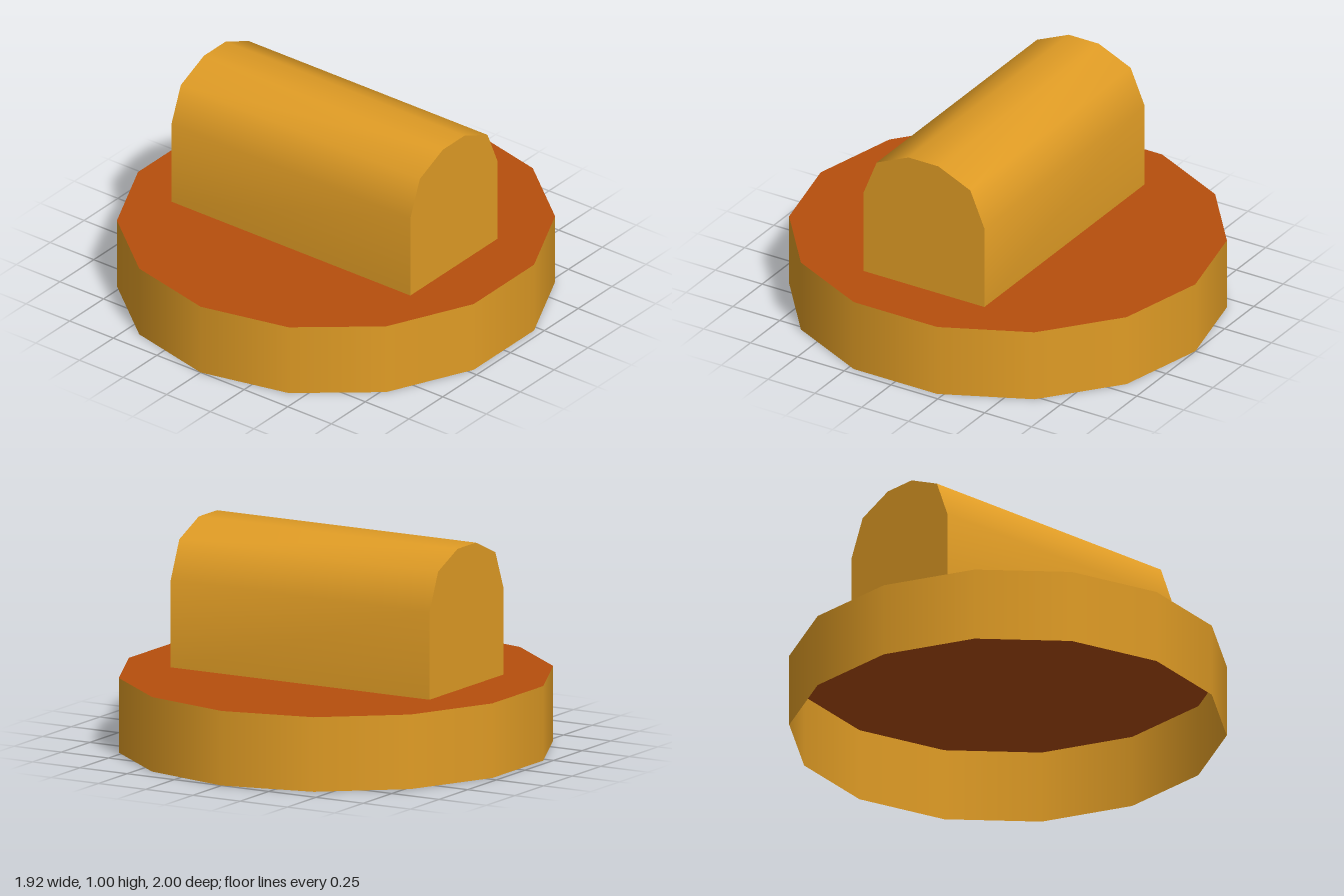
import * as THREE from 'three';
import { toCreasedNormals } from 'three/addons/utils/BufferGeometryUtils.js';

const SIDES = 14, BASE_H = 0.345, X_SCALE = 0.987;

export function createModel() {
  const gold = new THREE.MeshStandardMaterial({ color: 0xe09c25, side: THREE.DoubleSide });
  gold.name = 'gold';
  const rust = new THREE.MeshStandardMaterial({ color: 0xb64f0d, side: THREE.DoubleSide });
  rust.name = 'rust';

  const model = new THREE.Group();
  model.name = 'model';
  const add = (name, geometry, material) => {
    const mesh = new THREE.Mesh(geometry, material);
    mesh.name = name;
    model.add(mesh);
  };

  // Smooth side wall of the base, hollow underneath
  const wall = new THREE.CylinderGeometry(1, 1, BASE_H, SIDES, 1, true);
  wall.scale(X_SCALE, 1, 1).translate(0, BASE_H / 2, 0);
  add('baseWall', wall, gold);

  // Flat plate closing the top of the base
  const plate = new THREE.CircleGeometry(1, SIDES, Math.PI / 2);
  plate.rotateX(-Math.PI / 2).scale(X_SCALE, 1, 1).translate(0, BASE_H, 0);
  add('basePlate', plate, rust);

  // Arched block on the plate: profile in (-z, y), run along x
  const profile = [
    [-0.34, BASE_H + 0.001], [0.305, BASE_H + 0.001], [0.305, 0.75], [0.23, 0.925],
    [0.06, 1], [-0.1, 1], [-0.27, 0.925], [-0.34, 0.75],
  ].map(([x, y]) => new THREE.Vector2(x, y));
  const block = new THREE.ExtrudeGeometry(new THREE.Shape(profile), { depth: 1.37, bevelEnabled: false });
  block.rotateY(Math.PI / 2).translate(-0.68, 0, 0);
  add('archedBlock', toCreasedNormals(block, 1), gold);

  return model;
}
